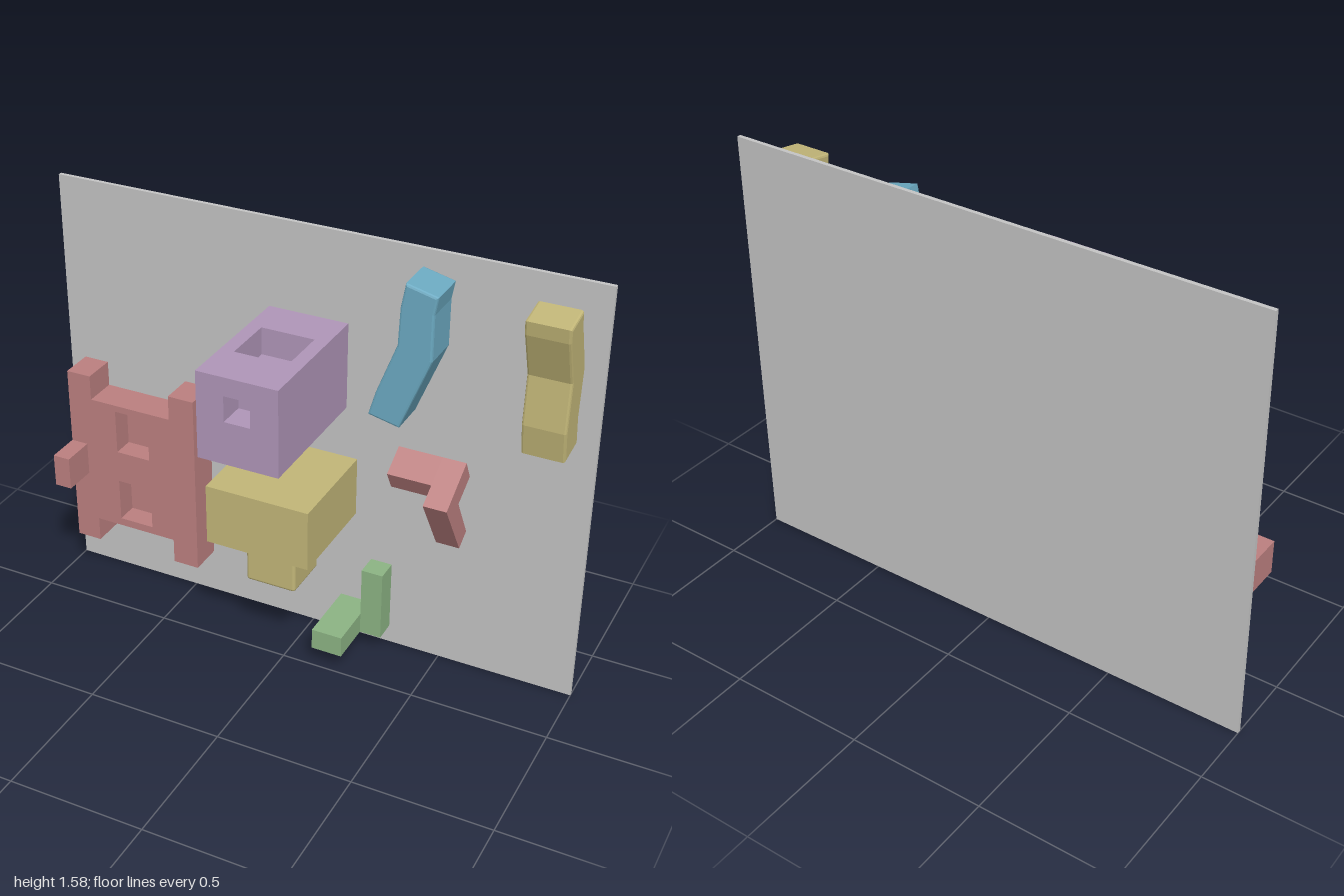
import * as THREE from 'three';
import { RoundedBoxGeometry } from 'three/addons/geometries/RoundedBoxGeometry.js';

const mat = (name, color) => new THREE.MeshStandardMaterial({ name, color });
const WALL = -0.25; // front surface of the backing panel

function polygon(points) {
  return new THREE.Shape(points.map(([x, y]) => new THREE.Vector2(x, y)));
}

function rectPoints(x0, x1, y0, y1) {
  return [[x0, y0], [x1, y0], [x1, y1], [x0, y1]];
}

// Profile in x/y, extruded from z0 to z1, with optional holes and soft edges
function extrude(points, z0, z1, holes = [], bevel = 0) {
  const shape = polygon(points);
  holes.forEach((h) => shape.holes.push(polygon(h)));
  const geo = new THREE.ExtrudeGeometry(shape, {
    depth: z1 - z0 - 2 * bevel,
    bevelEnabled: bevel > 0,
    bevelThickness: bevel,
    bevelSize: bevel,
    bevelOffset: -bevel,
    bevelSegments: 2,
  });
  return geo.translate(0, 0, z0 + bevel);
}

// Profile given as [z, y], extruded along x
function extrudeSide(points, x0, x1, bevel = 0) {
  const geo = extrude(points.map(([z, y]) => [-z, y]), x0, x1, [], bevel);
  return geo.rotateY(Math.PI / 2);
}

function box(x0, x1, y0, y1, z0, z1) {
  return new THREE.BoxGeometry(x1 - x0, y1 - y0, z1 - z0)
    .translate((x0 + x1) / 2, (y0 + y1) / 2, (z0 + z1) / 2);
}

export function createModel() {
  const model = new THREE.Group();
  model.name = 'wallOfBlocks';
  const gray = mat('panelGray', 0xc4c4c4);
  const red = mat('dustyRed', 0xbc8080);
  const yellow = mat('mutedYellow', 0xc2b678);
  const purple = mat('mutedPurple', 0xb096b8);
  const blue = mat('mutedBlue', 0x6caac2);
  const green = mat('mutedGreen', 0x8cb484);

  const group = (name) => {
    const g = new THREE.Group();
    g.name = name;
    model.add(g);
    return g;
  };
  const add = (parent, name, geometry, material) => {
    const mesh = new THREE.Mesh(geometry, material);
    mesh.name = name;
    parent.add(mesh);
  };

  // Backing panel
  add(model, 'backPanel', box(-1, 1, 0, 1.58, -0.265, WALL), gray);

  // Red H-shaped plate with two blind pockets and a side peg
  const plate = group('redPlate');
  const outline = [
    [-0.94, 0.175], [-0.845, 0.175], [-0.845, 0.27], [-0.52, 0.27], [-0.52, 0.175], [-0.42, 0.175],
    [-0.42, 0.88], [-0.52, 0.88], [-0.52, 0.785], [-0.845, 0.785], [-0.845, 0.88], [-0.94, 0.88],
  ];
  const pockets = [[0.30, 0.465], [0.59, 0.76]].map(([y0, y1]) => rectPoints(-0.745, -0.61, y0, y1));
  add(plate, 'plateBack', extrude(outline, WALL, -0.205), red);
  add(plate, 'plateFront', extrude(outline, -0.205, -0.125, pockets), red);
  add(plate, 'platePeg', box(-0.94, -0.875, 0.465, 0.59, -0.125, 0), red);

  // Purple block with a front pocket and a larger top pocket
  const block = group('purpleBlock');
  const [px0, px1, py0, py1] = [-0.18, 0.115, 0.935, 1.255];
  const floorY = 1.155, splitZ = 0.165;
  add(block, 'blockFront',
    extrude(rectPoints(px0, px1, py0, py1), splitZ, 0.265, [rectPoints(-0.08, 0.015, 1.093, 1.187)]), purple);
  add(block, 'blockBase', box(px0, px1, py0, floorY, WALL, splitZ), purple);
  const topGeo = extrude(rectPoints(px0, px1, -splitZ, -WALL), 0, py1 - floorY, [rectPoints(-0.13, 0.065, -0.097, 0.095)]);
  add(block, 'blockTop', topGeo.rotateX(-Math.PI / 2).translate(0, floorY, 0), purple);

  // Yellow block with a peg below
  const yellowBlock = group('yellowBlock');
  add(yellowBlock, 'yellowBody', box(-0.225, 0.16, 0.515, 0.74, WALL, 0.14), yellow);
  add(yellowBlock, 'yellowPeg',
    new RoundedBoxGeometry(0.19, 0.22, 0.187, 2, 0.012).translate(-0.034, 0.43, -0.057), yellow);

  // Small tilted red hook: cross arm and bent leg
  const hook = group('redHook');
  add(hook, 'hookArm',
    extrudeSide([[-0.115, 0.802], [-0.21, 0.86], [-0.25, 0.785], [-0.155, 0.73]], 0.33, 0.49), red);
  add(hook, 'hookLeg', extrudeSide([
    [-0.046, 0.76], [-0.21, 0.86], [-0.25, 0.785], [-0.155, 0.73], [-0.25, 0.565], [-0.19, 0.53],
  ], 0.49, 0.575), red);

  // Green post with a forward foot
  const post = group('greenPost');
  add(post, 'postUpright', box(0.225, 0.305, 0.07, 0.34, WALL, -0.168), green);
  add(post, 'postFoot', box(0.11, 0.225, 0.07, 0.15, WALL, -0.005), green);

  // Blue bar bending sideways
  add(model, 'blueBentBar', extrude([
    [0.374, 1.52], [0.487, 1.493], [0.476, 1.43], [0.476, 1.265], [0.37, 0.997],
    [0.258, 1.022], [0.283, 1.11], [0.353, 1.297], [0.358, 1.43],
  ].reverse(), WALL, -0.1, [], 0.008), blue);

  // Yellow bar bending away from the panel
  add(model, 'yellowBentBar', extrudeSide([
    [-0.063, 1.5], [-0.176, 1.518], [-0.19, 1.46], [-0.25, 1.295], [-0.235, 1.12],
    [-0.25, 1.012], [-0.134, 0.998], [-0.117, 1.11], [-0.13, 1.285], [-0.07, 1.45],
  ], 0.78, 0.93, 0.008), yellow);

  return model;
}
